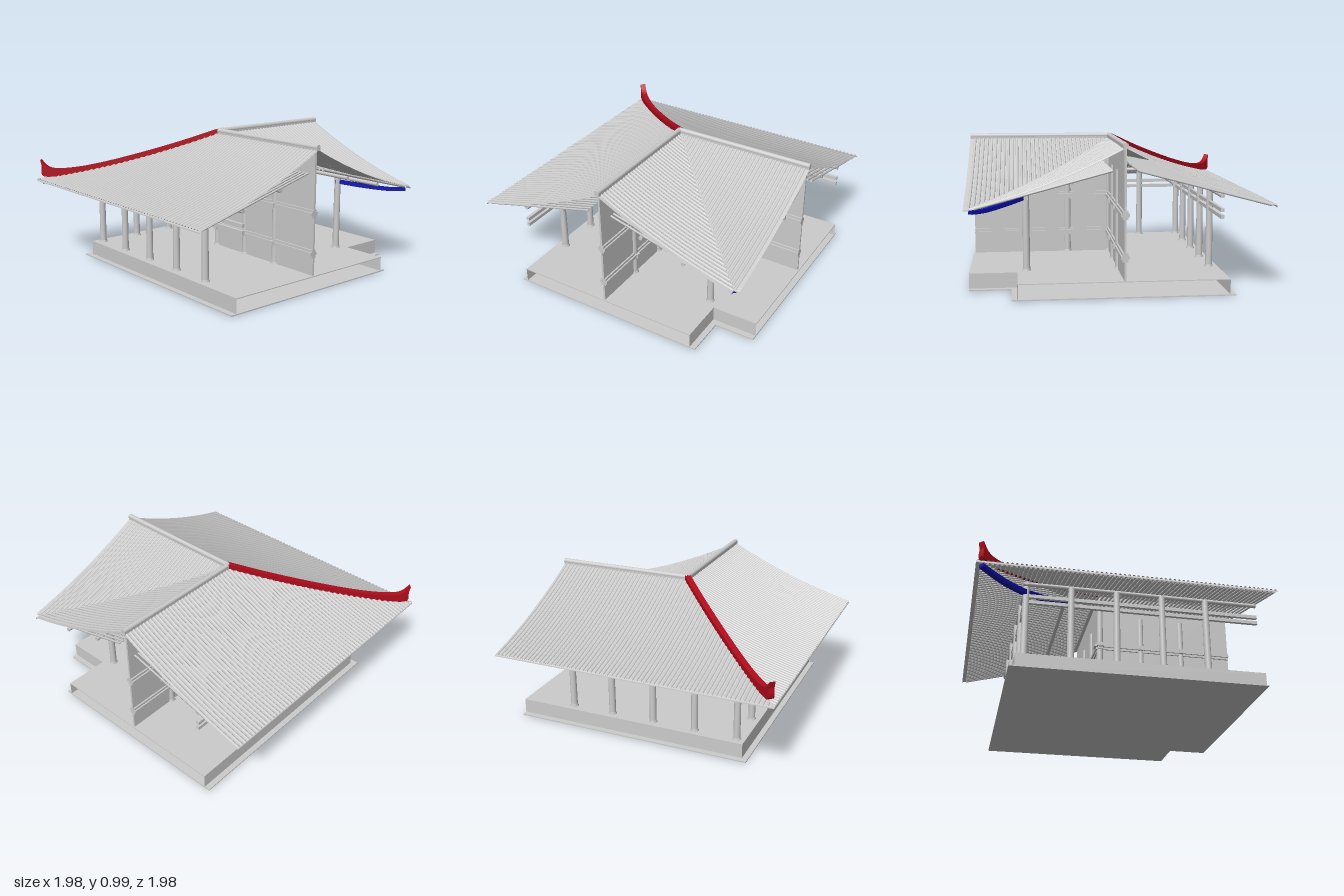
import * as THREE from 'three';

const grey = new THREE.MeshStandardMaterial({ color: 0xcccccc });
const thin = new THREE.MeshStandardMaterial({ color: 0xcccccc, side: THREE.DoubleSide });
const red = new THREE.MeshStandardMaterial({ color: 0xb00c1c });
const blue = new THREE.MeshStandardMaterial({ color: 0x0c10a8 });

const C = 0.02;            // ridges meet at x = -C, z = C
const END = 0.98;          // where both wings are cut off
const EAVE = 0.97;         // horizontal run from ridge to eave
const PITCH = 0.03;        // tile and rafter spacing
const roofY = d => 0.955 - 0.53 * d + 0.15 * d * d;
const rafterY = d => 0.6 + 0.265 * (0.91 - d);

function add(parent, name, geometry, material = grey, x = 0, y = 0, z = 0) {
  const mesh = new THREE.Mesh(geometry, material);
  mesh.name = name;
  mesh.position.set(x, y, z);
  parent.add(mesh);
  return mesh;
}

// Box running along x between two ends
function beam(parent, name, x0, x1, y, z, h, w) {
  return add(parent, name, new THREE.BoxGeometry(x1 - x0, h, w), grey, (x0 + x1) / 2, y, z);
}

function rod(parent, name, a, b, r, sides = 8) {
  const mesh = add(parent, name, new THREE.CylinderGeometry(r, r, a.distanceTo(b), sides));
  mesh.position.copy(a).add(b).multiplyScalar(0.5);
  mesh.quaternion.setFromUnitVectors(new THREE.Vector3(0, 1, 0), b.clone().sub(a).normalize());
  return mesh;
}

function column(parent, x, z, top) {
  const group = new THREE.Group();
  group.name = 'column';
  group.position.set(x, 0, z);
  parent.add(group);
  add(group, 'shaft', new THREE.CylinderGeometry(0.022, 0.024, top - 0.11, 16), grey, 0, (top + 0.11) / 2);
  add(group, 'plinth', new THREE.CylinderGeometry(0.027, 0.03, 0.014, 16), grey, 0, 0.117);
}

// Surface through rows of equally many points
function loft(rows) {
  const n = rows[0].length, index = [];
  for (let i = 0; i + 1 < rows.length; i++) {
    for (let j = 0; j + 1 < n; j++) {
      const a = i * n + j, b = a + n;
      index.push(a, b, a + 1, a + 1, b, b + 1);
    }
  }
  const g = new THREE.BufferGeometry();
  g.setAttribute('position', new THREE.Float32BufferAttribute(rows.flat(2), 3));
  g.setIndex(index);
  g.computeVertexNormals();
  return g;
}

// One roof slope; side +1 is the outer (hip) slope, -1 the inner (valley) slope
function slope(parent, side) {
  const group = new THREE.Group();
  group.name = side > 0 ? 'outerSlope' : 'innerSlope';
  parent.add(group);
  const zAt = d => C + side * d;

  // Roof sheet with a small lip at the eave
  const rows = [];
  for (let i = 0; i <= 14; i++) {
    const d = EAVE * i / 14;
    rows.push([[-C - side * d, roofY(d), zAt(d)], [0.99, roofY(d), zAt(d)]]);
  }
  rows.push(rows[14].map(([x, y, z]) => [x, y - 0.012, z]));
  add(group, 'roofSheet', loft(rows), thin);

  // Half-round tile rolls and the straight rafters below them
  const first = side > 0 ? -C - EAVE + 0.015 : -C + 0.015;
  for (let x = first; x < 0.985; x += PITCH) {
    const d0 = side > 0 ? Math.max(0, -x - C) : 0;
    const d1 = side > 0 ? EAVE : Math.min(EAVE, x + C);
    const tile = [];
    for (let i = 0; i <= 8; i++) {
      const d = d0 + (d1 - d0) * i / 8, ring = [];
      for (let k = 0; k <= 5; k++) {
        const a = Math.PI * k / 5;
        ring.push([x + 0.009 * Math.cos(a), roofY(d) + 0.009 * Math.sin(a), zAt(d)]);
      }
      tile.push(ring);
    }
    add(group, 'tileRoll', loft(tile), thin);

    const r0 = Math.max(0.08, d0), r1 = Math.min(0.94, d1);
    if (r1 - r0 > 0.02) {
      rod(group, 'rafter', new THREE.Vector3(x, rafterY(r0) - 0.008, zAt(r0)),
        new THREE.Vector3(x, rafterY(r1) - 0.008, zAt(r1)), 0.008, 6);
    }
  }
}

// Half of the building: the wing running along +x
function wing() {
  const g = new THREE.Group();
  g.name = 'wing';
  slope(g, 1);
  slope(g, -1);

  // Ridge cap
  beam(g, 'ridgeBase', -C, 0.99, 0.963, C, 0.026, 0.034);
  rod(g, 'ridgeCap', new THREE.Vector3(-C, 0.971, C), new THREE.Vector3(0.99, 0.971, C), 0.018, 16);

  // Middle wall with its rails and posts
  beam(g, 'wall', -C, 0.97, 0.53, C, 0.84, 0.014);
  for (const y of [0.26, 0.53]) {
    beam(g, 'wallRail', -0.05, 0.97, y, C, 0.056, 0.036);
    beam(g, 'railRib', -0.065, 0.97, y, C, 0.022, 0.056);
  }
  for (const x of [0.29, 0.6]) {
    column(g, x, C, 0.78);
    for (const y of [0.26, 0.53]) beam(g, 'railBlock', x - 0.015, x + 0.015, y, C, 0.03, 0.08);
  }

  // Outer colonnade, tie beams and purlins
  for (const x of [-0.335, -0.025, 0.29, 0.6]) column(g, x, 0.64, 0.645);
  beam(g, 'lowerTieBeam', -0.66, 0.97, 0.512, 0.64, 0.024, 0.022);
  beam(g, 'upperTieBeam', -0.66, 0.97, 0.555, 0.64, 0.024, 0.022);
  const purlin = (x0, y, z) =>
    rod(g, 'purlin', new THREE.Vector3(x0, y, z), new THREE.Vector3(0.97, y, z), 0.014, 12);
  purlin(-0.66, 0.646, 0.64);
  purlin(-0.33, 0.73, 0.33);
  purlin(0.6, 0.646, -0.6);
  purlin(0.29, 0.73, -0.29);

  // Platform side walls, open at the cut end
  const sideWall = (x0, z) => add(g, 'platformWall', new THREE.PlaneGeometry(END - x0, 0.1), thin,
    (x0 + END) / 2, 0.055, z);
  sideWall(-0.7, 0.7);
  sideWall(0.66, -0.66).rotation.y = Math.PI;
  return g;
}

// L-shaped slab of the platform
function slab(parent, name, out, notch, y, h) {
  const pts = [[-out, -out], [END, -out], [END, notch], [notch, notch], [notch, END], [-out, END]];
  const shape = new THREE.Shape(pts.map(p => new THREE.Vector2(...p)));
  const geo = new THREE.ExtrudeGeometry(shape, { depth: h, bevelEnabled: false });
  add(parent, name, geo.rotateX(-Math.PI / 2), grey, 0, y);
}

// Beam on the diagonal, its side outline given as smooth upper and lower lines of (run, y)
function diagonal(parent, name, upper, lower, width, angle, material) {
  const line = pts => new THREE.SplineCurve(
    pts.map(([d, y]) => new THREE.Vector2(d * Math.SQRT2, y))).getPoints(28);
  const shape = new THREE.Shape([...line(lower), ...line(upper).reverse()]);
  const geo = new THREE.ExtrudeGeometry(shape, { depth: width, bevelEnabled: false });
  geo.translate(0, 0, -width / 2);
  const mesh = add(parent, name, geo, material, -C, 0, C);
  mesh.rotation.y = angle;
}

export function createModel() {
  const model = new THREE.Group();
  model.name = 'cornerPavilion';

  // The second wing mirrors the first across the diagonal
  const second = wing();
  second.scale.z = -1;
  second.rotation.y = Math.PI / 2;
  model.add(wing(), second);

  slab(model, 'basePlate', 0.74, 0.7, 0, 0.008);
  slab(model, 'platformTop', 0.7, 0.66, 0.104, 0.006);

  // Columns on the diagonal
  column(model, -C, C, 0.95);
  column(model, -0.64, 0.64, 0.62);
  column(model, 0.6, -0.6, 0.645);

  // Hip ridge with upturned horn, and the curved hip and valley rafters
  const hip = -3 * Math.PI / 4, valley = Math.PI / 4;
  diagonal(model, 'hipRidge',
    [[0, 0.985], [0.2, 0.888], [0.4, 0.802], [0.6, 0.726], [0.75, 0.682], [0.86, 0.668], [0.91, 0.684], [0.945, 0.735]],
    [[0, 0.95], [0.2, 0.853], [0.4, 0.765], [0.6, 0.688], [0.75, 0.636], [0.86, 0.612], [0.935, 0.615], [0.938, 0.69]],
    0.042, hip, red);
  diagonal(model, 'hipRafter',
    [[0.27, 0.737], [0.45, 0.658], [0.62, 0.598], [0.78, 0.574], [0.935, 0.58]],
    [[0.27, 0.705], [0.45, 0.622], [0.62, 0.564], [0.78, 0.542], [0.935, 0.556]],
    0.036, hip, blue);
  diagonal(model, 'valleyRafter',
    [[0.61, 0.624], [0.75, 0.595], [0.88, 0.572], [0.965, 0.572]],
    [[0.61, 0.598], [0.75, 0.567], [0.88, 0.548], [0.965, 0.55]],
    0.036, valley, blue);
  return model;
}
